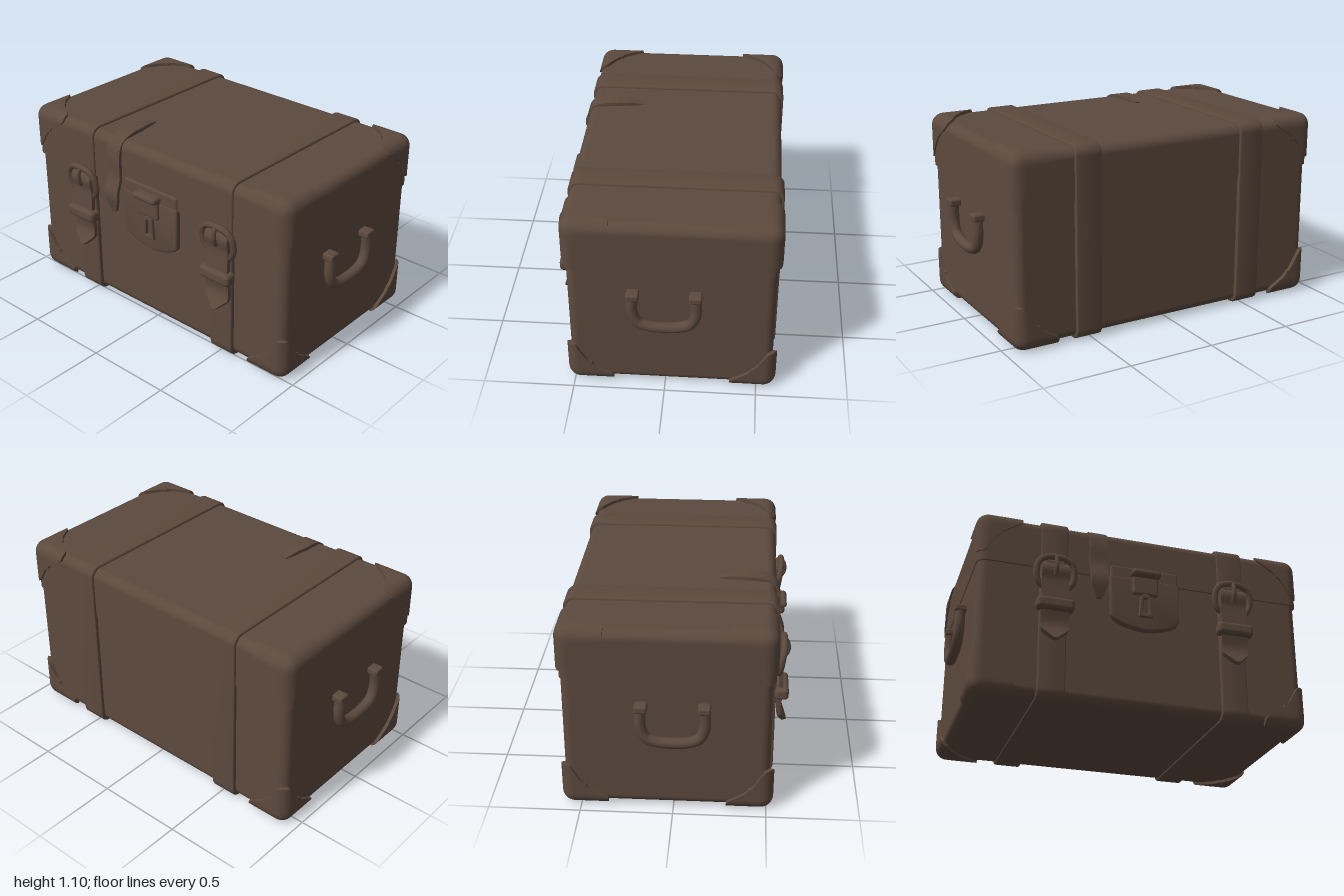
import * as THREE from 'three';
import { mergeVertices, toCreasedNormals } from 'three/addons/utils/BufferGeometryUtils.js';
import { RoundedBoxGeometry } from 'three/addons/geometries/RoundedBoxGeometry.js';

const leather = new THREE.MeshStandardMaterial({ color: 0x5c493d });
leather.name = 'brown leather';

function add(parent, name, geometry, x = 0, y = 0, z = 0) {
  const mesh = new THREE.Mesh(geometry, leather);
  mesh.name = name;
  mesh.position.set(x, y, z);
  parent.add(mesh);
  return mesh;
}

const rounded = (w, h, d, r) => new RoundedBoxGeometry(w, h, d, 4, r);

// Rounded rectangle outline
function roundRect(w, h, r) {
  const s = new THREE.Shape();
  s.absarc(w / 2 - r, h / 2 - r, r, 0, Math.PI / 2);
  s.absarc(-w / 2 + r, h / 2 - r, r, Math.PI / 2, Math.PI);
  s.absarc(-w / 2 + r, -h / 2 + r, r, Math.PI, Math.PI * 1.5);
  s.absarc(w / 2 - r, -h / 2 + r, r, Math.PI * 1.5, Math.PI * 2);
  s.closePath();
  return s;
}

// Plate with softened edges, back at z = 0
function plate(shape, depth, bevel) {
  const g = new THREE.ExtrudeGeometry(shape, {
    depth: depth - bevel, bevelThickness: bevel, bevelSize: bevel,
    bevelOffset: -bevel, bevelSegments: 3, curveSegments: 10,
  });
  return toCreasedNormals(g, 0.7);
}

// Leather band bent along [y, z] points, running from top to tip
function band(points, width, thickness) {
  const curve = new THREE.CatmullRomCurve3(points.map(([y, z]) => new THREE.Vector3(0, y, z)));
  const g = new THREE.BoxGeometry(1, 1, 1, 4, 40, 1);
  const p = g.attributes.position;
  for (let i = 0; i < p.count; i++) {
    const t = 0.5 - p.getY(i);
    const c = curve.getPointAt(t), tan = curve.getTangentAt(t);
    const off = p.getZ(i) * thickness;
    p.setXYZ(i, p.getX(i) * width(t), c.y + tan.z * off, c.z - tan.y * off);
  }
  return toCreasedNormals(g, 0.7);
}

// Three-sided corner guard with a scooped outline on each face
function cornerGuard(sx, sy, sz) {
  const N = 14, L = 0.255, R = 0.07, scoop = 0.46;
  const s = [sx, sy, sz];
  const half = [0.957, 0.543, 0.573], mid = [0, 0.553, -0.034];
  const cut = (v) => 1 - scoop * THREE.MathUtils.smoothstep(v, 0.25, 1);
  const pos = [], index = [];
  for (let f = 0; f < 3; f++) {
    const base = pos.length / 3, j = (f + 1) % 3, k = (f + 2) % 3;
    for (let a = 0; a <= N + 1; a++) {
      for (let b = 0; b <= N + 1; b++) {
        const u = Math.min(a / N, 1), v = Math.min(b / N, 1);
        const d = [0, 0, 0];
        d[j] = L * u * cut(v);
        d[k] = L * v * cut(u);
        const core = d.map((q) => Math.max(q, R));
        const n = new THREE.Vector3(...d.map((q, i) => q - core[i])).normalize();
        const r = a > N || b > N ? R - 0.035 : R; // rim sinks into the case
        n.toArray().forEach((q, i) => pos.push(mid[i] + s[i] * (half[i] - core[i] - q * r)));
      }
    }
    const at = (a, b) => base + a * (N + 2) + b;
    for (let a = 0; a <= N; a++) {
      for (let b = 0; b <= N; b++) {
        const q = [at(a, b), at(a + 1, b), at(a + 1, b + 1), at(a, b + 1)];
        if (sx * sy * sz < 0) q.reverse();
        index.push(q[0], q[1], q[2], q[0], q[2], q[3]);
      }
    }
  }
  const g = new THREE.BufferGeometry();
  g.setAttribute('position', new THREE.Float32BufferAttribute(pos, 3));
  g.setIndex(index);
  return toCreasedNormals(mergeVertices(g), 0.8);
}

// Buckle, tongue and keeper
function buckle(x) {
  const g = new THREE.Group();
  g.name = 'buckle';
  g.position.x = x;
  const frame = new THREE.CatmullRomCurve3(
    [[-0.06, 0.83], [0.06, 0.83], [0.1, 0.79], [0.1, 0.7], [0.06, 0.66], [-0.06, 0.66], [-0.1, 0.7], [-0.1, 0.79]]
      .map(([a, b]) => new THREE.Vector3(a, b, 0.562 + 0.15 * (b - 0.74))), true);
  add(g, 'buckleFrame', new THREE.TubeGeometry(frame, 48, 0.018, 8, true));
  const tip = (t) => 0.155 * (t > 0.86 ? 1 - 0.85 * (t - 0.86) / 0.14 : 1);
  add(g, 'strapTongue', band([[0.81, 0.548], [0.77, 0.572], [0.7, 0.562], [0.55, 0.568], [0.43, 0.556], [0.335, 0.592]], tip, 0.024));
  add(g, 'strapFold', rounded(0.13, 0.17, 0.04, 0.018), 0, 0.745, 0.548);
  add(g, 'strapKeeper', rounded(0.21, 0.07, 0.075, 0.022), 0, 0.545, 0.571);
  const prong = new THREE.CatmullRomCurve3([[0.725, 0.575], [0.77, 0.597], [0.82, 0.592], [0.845, 0.575]]
    .map(([y, z]) => new THREE.Vector3(0, y, z)));
  add(g, 'bucklePin', new THREE.TubeGeometry(prong, 16, 0.013, 8));
  return g;
}

// U-shaped carrying handle on one end
function handle(side) {
  const g = new THREE.Group();
  g.name = 'handle';
  const path = new THREE.CatmullRomCurve3(
    [[0.165, 0.655], [0.168, 0.54], [0.14, 0.475], [0.075, 0.448], [0, 0.443], [-0.075, 0.448], [-0.14, 0.475], [-0.168, 0.54], [-0.165, 0.655]]
      .map(([z, y]) => new THREE.Vector3(side * 0.968, y, z)));
  add(g, 'grip', new THREE.TubeGeometry(path, 48, 0.03, 12));
  for (const z of [-0.165, 0.165]) add(g, 'handleMount', rounded(0.07, 0.042, 0.068, 0.012), side * 0.965, 0.652, z);
  return g;
}

export function createModel() {
  const model = new THREE.Group();
  model.name = 'trunk';

  // Lower case, and a slightly wider lid cut flat at the seam
  add(model, 'case', rounded(1.876, 1.035, 1.1, 0.05), 0, 0.545, -0.034);
  const lid = rounded(1.896, 1.05, 1.12, 0.055), p = lid.attributes.position;
  for (let i = 0; i < p.count; i++) p.setY(i, Math.max(p.getY(i), 0.237));
  add(model, 'lid', lid, 0, 0.553, -0.031);

  for (const s of [-1, 1]) {
    // Band wrapped round the whole trunk
    const wrap = plate(roundRect(1.145, 1.08, 0.06), 0.145, 0.008);
    wrap.rotateY(Math.PI / 2);
    add(model, 'wrapBand', wrap, s * 0.52 - 0.069, 0.553, -0.033);
    model.add(buckle(s * 0.52), handle(s));
    for (const sy of [-1, 1]) for (const sz of [-1, 1]) add(model, 'cornerGuard', cornerGuard(s, sy, sz));
  }

  // Lock plate with rounded foot
  const foot = new THREE.Shape();
  foot.moveTo(-0.205, 0.8);
  foot.lineTo(-0.2, 0.56);
  foot.quadraticCurveTo(-0.19, 0.53, -0.15, 0.515);
  foot.quadraticCurveTo(0, 0.45, 0.15, 0.515);
  foot.quadraticCurveTo(0.19, 0.53, 0.2, 0.56);
  foot.lineTo(0.205, 0.8);
  foot.closePath();
  add(model, 'lockPlate', plate(foot, 0.035, 0.012), 0, 0, 0.51);
  add(model, 'lockTopPlate', rounded(0.4, 0.1, 0.03, 0.014), 0, 0.82, 0.526);

  // Hasp and keyhole surround
  add(model, 'haspTab', rounded(0.15, 0.14, 0.03, 0.013), 0, 0.765, 0.548);
  add(model, 'haspBar', rounded(0.17, 0.042, 0.07, 0.02), 0, 0.822, 0.563);
  const arch = new THREE.Shape();
  arch.moveTo(-0.04, 0.56);
  arch.lineTo(0.04, 0.56);
  arch.lineTo(0.032, 0.67);
  arch.absarc(0, 0.67, 0.032, 0, Math.PI);
  arch.closePath();
  const slot = new THREE.Path();
  slot.moveTo(-0.018, 0.58);
  slot.lineTo(-0.014, 0.66);
  slot.absarc(0, 0.66, 0.014, Math.PI, 0, true);
  slot.lineTo(0.018, 0.58);
  slot.closePath();
  arch.holes.push(slot);
  add(model, 'keyholeSurround', plate(arch, 0.02, 0.004), 0, 0, 0.543);

  // Loose strap draped over the lid edge
  const width = (t) => t < 0.2 ? 0.03 + 0.35 * t : t > 0.88 ? 0.1 - 0.6 * (t - 0.88) : 0.1;
  add(model, 'looseStrap', band([[1.075, 0.22], [1.093, 0.33], [1.085, 0.46], [1.05, 0.522], [0.98, 0.542],
    [0.85, 0.545], [0.75, 0.572], [0.635, 0.553]], width, 0.02), -0.27);
  add(model, 'looseStrapLoop', rounded(0.09, 0.025, 0.035, 0.01), -0.27, 1.093, 0.365);

  return model;
}
